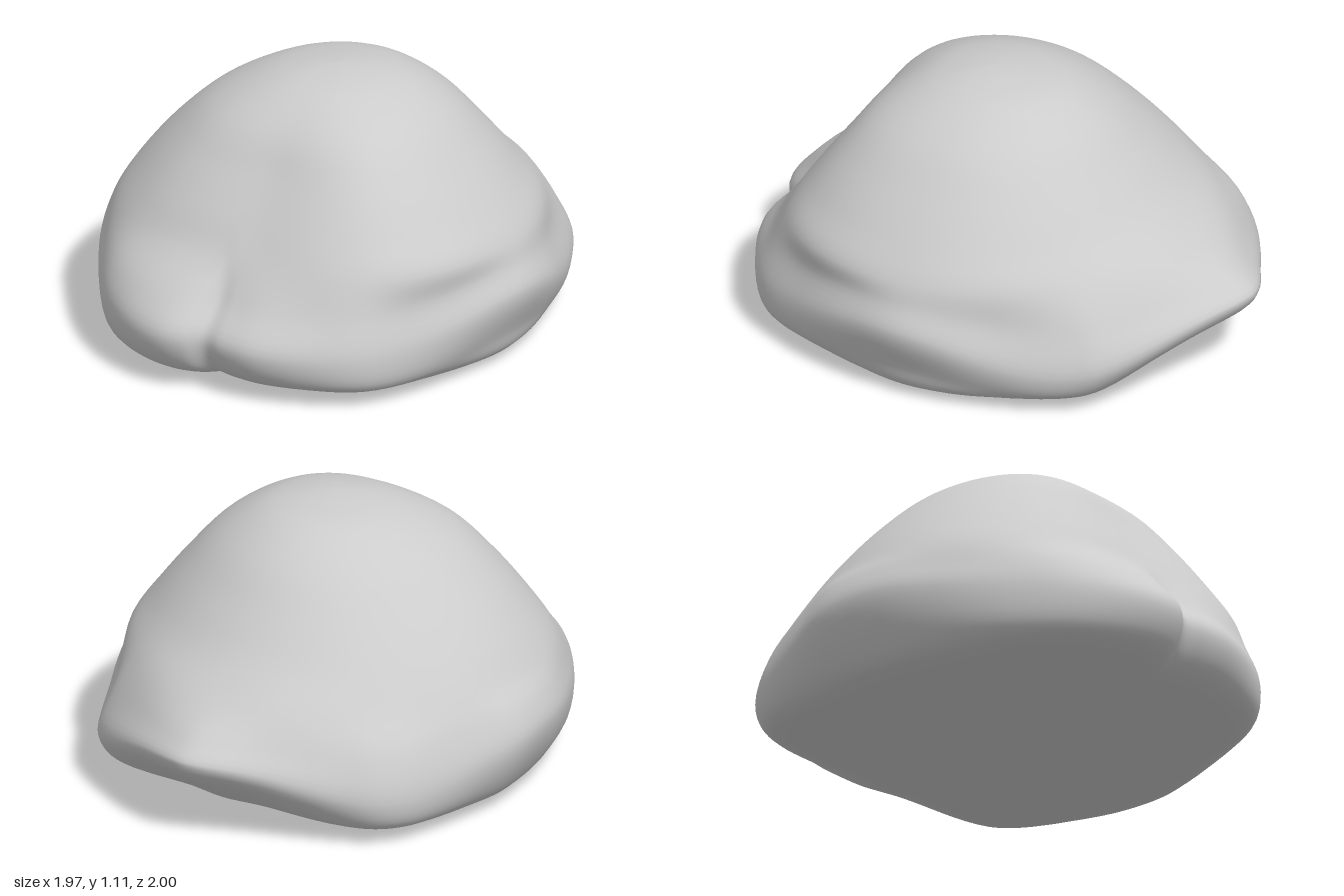
import * as THREE from 'three';
import { mergeVertices } from 'three/addons/utils/BufferGeometryUtils.js';

const CZ = 0.08; // the summit axis sits slightly forward

// Widest outline seen from above (x, z), turning from +x towards +z
const OUTLINE = [
  [0.98, -0.08], [0.95, 0.06], [0.86, 0.3], [0.76, 0.52], [0.62, 0.7], [0.4, 0.84], [0.15, 0.94],
  [-0.12, 1], [-0.35, 0.95], [-0.54, 0.86], [-0.64, 0.76], [-0.69, 0.69], [-0.78, 0.675], [-0.86, 0.62],
  [-0.94, 0.48], [-0.985, 0.25], [-0.96, 0], [-0.88, -0.3], [-0.77, -0.54], [-0.6, -0.74], [-0.4, -0.85],
  [-0.2, -0.94], [-0.08, -0.984], [0.05, -0.998], [0.2, -0.97], [0.5, -0.88], [0.76, -0.785],
  [0.83, -0.7], [0.93, -0.4],
];

// Radii in eight directions (every 45 degrees from +x towards +z) at falling heights
const UPPER = [
  { y: 1.1, r: [0.13, 0.12, 0.12, 0.11, 0.13, 0.13, 0.13, 0.13] },
  { y: 1.06, r: [0.29, 0.27, 0.27, 0.26, 0.29, 0.3, 0.31, 0.31] },
  { y: 0.95, r: [0.46, 0.45, 0.47, 0.42, 0.5, 0.51, 0.49, 0.48] },
  { y: 0.8, r: [0.6, 0.59, 0.62, 0.53, 0.65, 0.68, 0.65, 0.62] },
  { y: 0.65, r: [0.72, 0.71, 0.74, 0.64, 0.77, 0.81, 0.79, 0.76] },
  { y: 0.52, r: [0.82, 0.8, 0.83, 0.73, 0.86, 0.9, 0.9, 0.92] },
];

// Rows near the widest part: share of the outline radius, and height, per direction
const LOWER = [
  { f: [0.94, 0.95, 0.95, 0.89, 0.965, 0.965, 0.945, 0.94],
    y: [0.36, 0.43, 0.38, 0.37, 0.39, 0.43, 0.38, 0.41] },
  { f: [1, 1, 1, 1, 1, 1, 1, 1],
    y: [0.19, 0.32, 0.22, 0.24, 0.26, 0.32, 0.2, 0.335] },
  { f: [0.965, 0.925, 0.98, 0.95, 0.97, 0.935, 0.97, 0.83],
    y: [0.09, 0.14, 0.09, 0.11, 0.1, 0.14, 0.09, 0.16] },
  { f: [0.88, 0.87, 0.88, 0.85, 0.88, 0.85, 0.88, 0.65],
    y: [0.045, 0.04, 0.045, 0.05, 0.05, 0.045, 0.045, 0.05] },
  { f: [0.45, 0.45, 0.45, 0.45, 0.45, 0.45, 0.45, 0.36],
    y: [0.018, 0.018, 0.018, 0.018, 0.018, 0.018, 0.018, 0.018] },
];

// Smooth cyclic interpolation of eight values by angle
function around(values, angle) {
  const t = ((angle / (Math.PI / 4)) % 8 + 8) % 8;
  const i = Math.floor(t), k = t - i;
  const [a, b, c, d] = [-1, 0, 1, 2].map((o) => values[(i + o + 8) % 8]);
  return b + 0.5 * k * (c - a + k * (2 * a - 5 * b + 4 * c - d + k * (3 * (b - c) + d - a)));
}

// One profile from the summit, over the rim and under to the base centre
function profile(x, z) {
  const angle = Math.atan2(z - CZ, x), rim = Math.hypot(x, z - CZ);
  const at = (r, y) => new THREE.Vector3(r * Math.cos(angle), y, CZ + r * Math.sin(angle));
  return new THREE.CatmullRomCurve3([
    at(0, 1.112),
    ...UPPER.map((row) => at(around(row.r, angle), row.y)),
    ...LOWER.map((row) => at(around(row.f, angle) * rim, around(row.y, angle))),
    at(0, 0),
  ]);
}

function boulderGeometry(columns = 168, rows = 60) {
  const outline = new THREE.CatmullRomCurve3(OUTLINE.map(([x, z]) => new THREE.Vector3(x, 0, z)), true);
  const positions = [], index = [];
  for (let i = 0; i < columns; i++) {
    const p = outline.getPoint(i / columns);
    const curve = profile(p.x, p.z);
    for (let j = 0; j <= rows; j++) {
      const v = curve.getPoint(j / rows);
      if (j === 0 || j === rows) v.set(0, j ? 0 : 1.112, CZ);
      positions.push(v.x, Math.max(0, v.y), v.z);
    }
  }
  const id = (i, j) => (i % columns) * (rows + 1) + j;
  for (let i = 0; i < columns; i++) {
    for (let j = 0; j < rows; j++) {
      const a = id(i, j), b = id(i + 1, j), c = id(i, j + 1), d = id(i + 1, j + 1);
      if (j > 0) index.push(a, b, c);
      if (j < rows - 1) index.push(b, d, c);
    }
  }
  const geometry = new THREE.BufferGeometry();
  geometry.setAttribute('position', new THREE.Float32BufferAttribute(positions, 3));
  geometry.setIndex(index);
  const merged = mergeVertices(geometry);
  merged.computeVertexNormals();
  return merged;
}

export function createModel() {
  const group = new THREE.Group();
  group.name = 'rock';
  const boulder = new THREE.Mesh(boulderGeometry(), new THREE.MeshStandardMaterial({ color: 0xcccccc }));
  boulder.name = 'boulder';
  group.add(boulder);
  return group;
}
